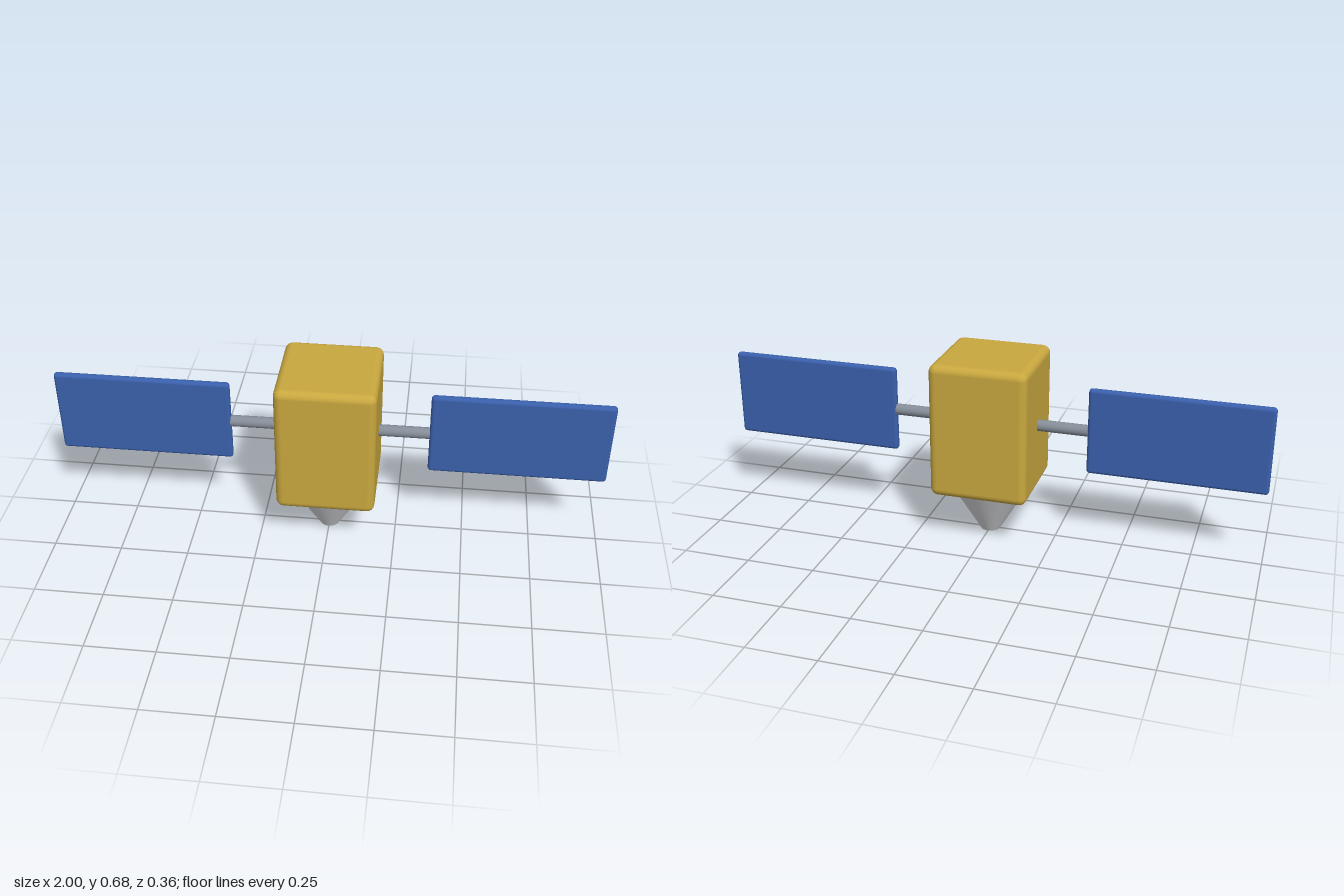
import * as THREE from 'three';
import { RoundedBoxGeometry } from 'three/addons/geometries/RoundedBoxGeometry.js';

function material(name, color) {
  const m = new THREE.MeshStandardMaterial({ color });
  m.name = name;
  return m;
}

export function createModel() {
  const gold = material('gold foil', 0xc9a83f);
  const blue = material('solar blue', 0x3a60ac);
  const steel = material('steel grey', 0x858d98);
  const white = material('nozzle white', 0xdcdde1);

  const model = new THREE.Group();
  model.name = 'satellite';

  function add(name, geometry, mat, x, y, parent = model) {
    const mesh = new THREE.Mesh(geometry, mat);
    mesh.name = name;
    mesh.position.set(x, y, 0);
    parent.add(mesh);
    return mesh;
  }

  // Rounded main body
  add('body', new RoundedBoxGeometry(0.356, 0.498, 0.356, 3, 0.028), gold, 0, 0.434);

  // Tapered nozzle, just clear of the body's underside
  add('nozzle', new THREE.CylinderGeometry(0.142, 0.036, 0.179, 48), white, 0, 0.0895);

  // Mirrored wings: a boom and a thin solar panel on each side
  for (const side of [1, -1]) {
    const wing = new THREE.Group();
    wing.name = side > 0 ? 'leftWing' : 'rightWing';
    model.add(wing);
    const boom = add('boom', new THREE.CylinderGeometry(0.021, 0.021, 0.2, 24), steel, side * 0.26, 0.434, wing);
    boom.rotation.z = Math.PI / 2;
    add('solarPanel', new RoundedBoxGeometry(0.641, 0.321, 0.028, 3, 0.0125), blue, side * 0.6795, 0.434, wing);
  }

  return model;
}
